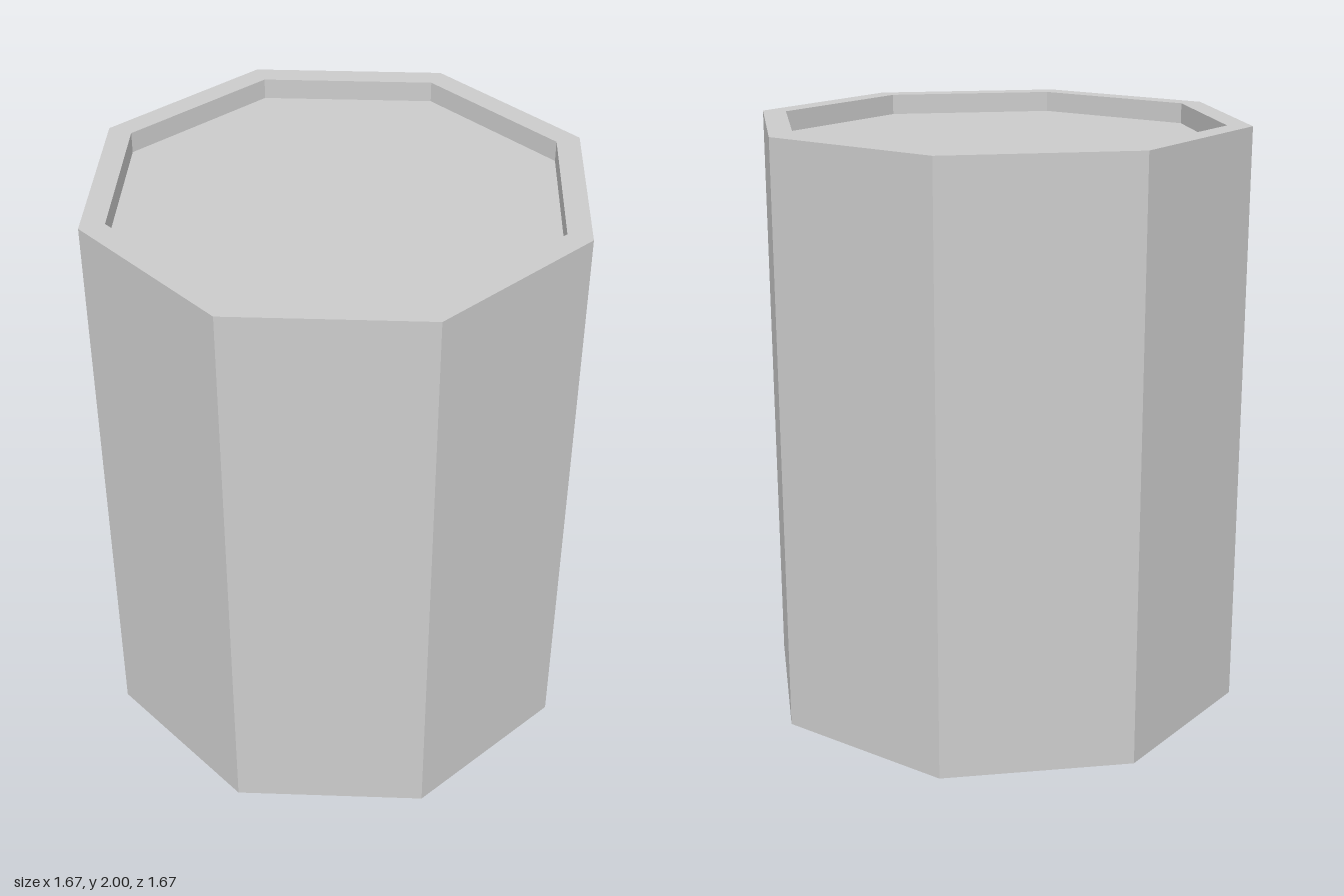
import * as THREE from 'three';

const SIDES = 8;
const HEIGHT = 2;
const OUTER = 0.835; // corner radius of the body
const INNER = 0.752; // corner radius of the recessed ends
const RECESS = 0.07; // depth of the recesses

export function createModel() {
  const group = new THREE.Group();
  group.name = 'octagonalCan';
  const material = new THREE.MeshStandardMaterial({ color: 0xcccccc, flatShading: true });

  // Outer wall with the flat rims and the short inner walls of both recesses
  const profile = [
    [INNER, RECESS], [INNER, 0], [OUTER, 0],
    [OUTER, HEIGHT], [INNER, HEIGHT], [INNER, HEIGHT - RECESS],
  ].map(([r, y]) => new THREE.Vector2(r, y));
  const body = new THREE.Mesh(new THREE.LatheGeometry(profile, SIDES), material);
  body.name = 'body';
  group.add(body);

  // Sunken end panels, corners aligned with the body
  const addPanel = (name, y, tilt) => {
    const panel = new THREE.Mesh(new THREE.CircleGeometry(INNER, SIDES), material);
    panel.name = name;
    panel.rotation.x = tilt;
    panel.position.y = y;
    group.add(panel);
  };
  addPanel('topPanel', HEIGHT - RECESS, -Math.PI / 2);
  addPanel('bottomPanel', RECESS, Math.PI / 2);

  return group;
}
